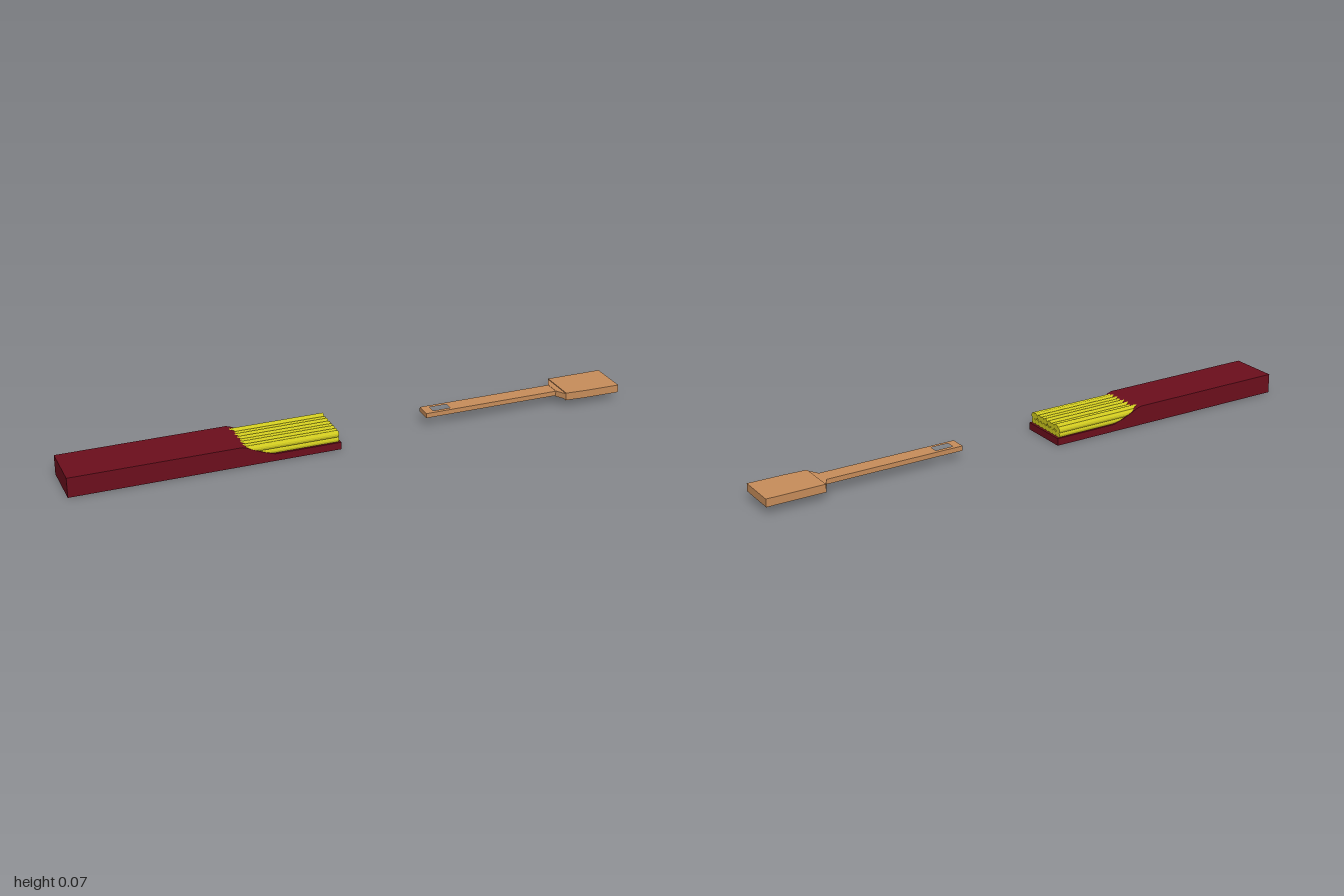
import * as THREE from 'three';

const material = (color) => new THREE.MeshStandardMaterial({ color, flatShading: true });

function addMesh(parent, name, geometry, mat) {
  const mesh = new THREE.Mesh(geometry, mat);
  mesh.name = name;
  parent.add(mesh);
  return mesh;
}

const shapeFrom = (points) => new THREE.Shape(points.map(([x, y]) => new THREE.Vector2(x, y)));

// Flat plate from an [x, z] outline, spanning y0 to y1
function plate(outline, y0, y1, hole) {
  const shape = shapeFrom(outline.map(([x, z]) => [x, -z]));
  if (hole) shape.holes.push(new THREE.Path(hole.map(([x, z]) => new THREE.Vector2(x, -z))));
  const geometry = new THREE.ExtrudeGeometry(shape, { depth: y1 - y0, bevelEnabled: false });
  return geometry.rotateX(-Math.PI / 2).translate(0, y0, 0);
}

export function createModel() {
  const group = new THREE.Group();
  const red = material(0x6b0e1c);
  const yellow = material(0xcfc91f);
  const wood = material(0xc68c5a);

  // Carton with its front end cut away in a sloping curve
  const profile = shapeFrom([
    [-1, 0], [-0.065, 0], [-0.065, 0.026], [-0.3, 0.026],
    [-0.34, 0.039], [-0.38, 0.056], [-0.4, 0.066], [-0.415, 0.07], [-1, 0.07],
  ]);
  const carton = new THREE.ExtrudeGeometry(profile, { depth: 0.176, bevelEnabled: false });
  addMesh(group, 'carton', carton.translate(0, 0, -0.088), red);

  // Strands lying in the carton: [y, z] of each centre
  const strands = new THREE.Group();
  strands.name = 'strands';
  group.add(strands);
  const centres = [
    [0.054, 0.076], [0.056, 0.062], [0.056, 0.039], [0.055, 0.02], [0.056, 0], [0.056, -0.023],
    [0.054, -0.043], [0.058, -0.064], [0.05, -0.075],
  ];
  for (let i = 0; i < 8; i++) centres.push([0.035, 0.074 - i * 0.0212]);
  const left = -0.45, right = -0.073;
  for (const [y, z] of centres) {
    const strand = new THREE.CylinderGeometry(0.0115, 0.0115, right - left, 12);
    strand.rotateZ(Math.PI / 2).translate((left + right) / 2, y, z);
    addMesh(strands, 'strand', strand, yellow);
  }

  // Wooden spatula: slotted handle, flared neck and thicker blade
  const spatula = new THREE.Group();
  spatula.name = 'spatula';
  group.add(spatula);
  const slot = [[0.3, -0.005], [0.365, -0.005], [0.365, 0.026], [0.3, 0.026]];
  addMesh(spatula, 'handle', plate(
    [[0.27, -0.019], [0.772, -0.019], [0.772, 0.039], [0.27, 0.039]], 0.035, 0.052, slot), wood);
  addMesh(spatula, 'neck', plate(
    [[0.772, -0.019], [0.794, -0.06], [0.794, 0.075], [0.772, 0.039]], 0.032, 0.053), wood);
  addMesh(spatula, 'blade', plate(
    [[0.794, -0.06], [1, -0.06], [1, 0.082], [0.87, 0.08], [0.794, 0.075]], 0.028, 0.056), wood);

  return group;
}
